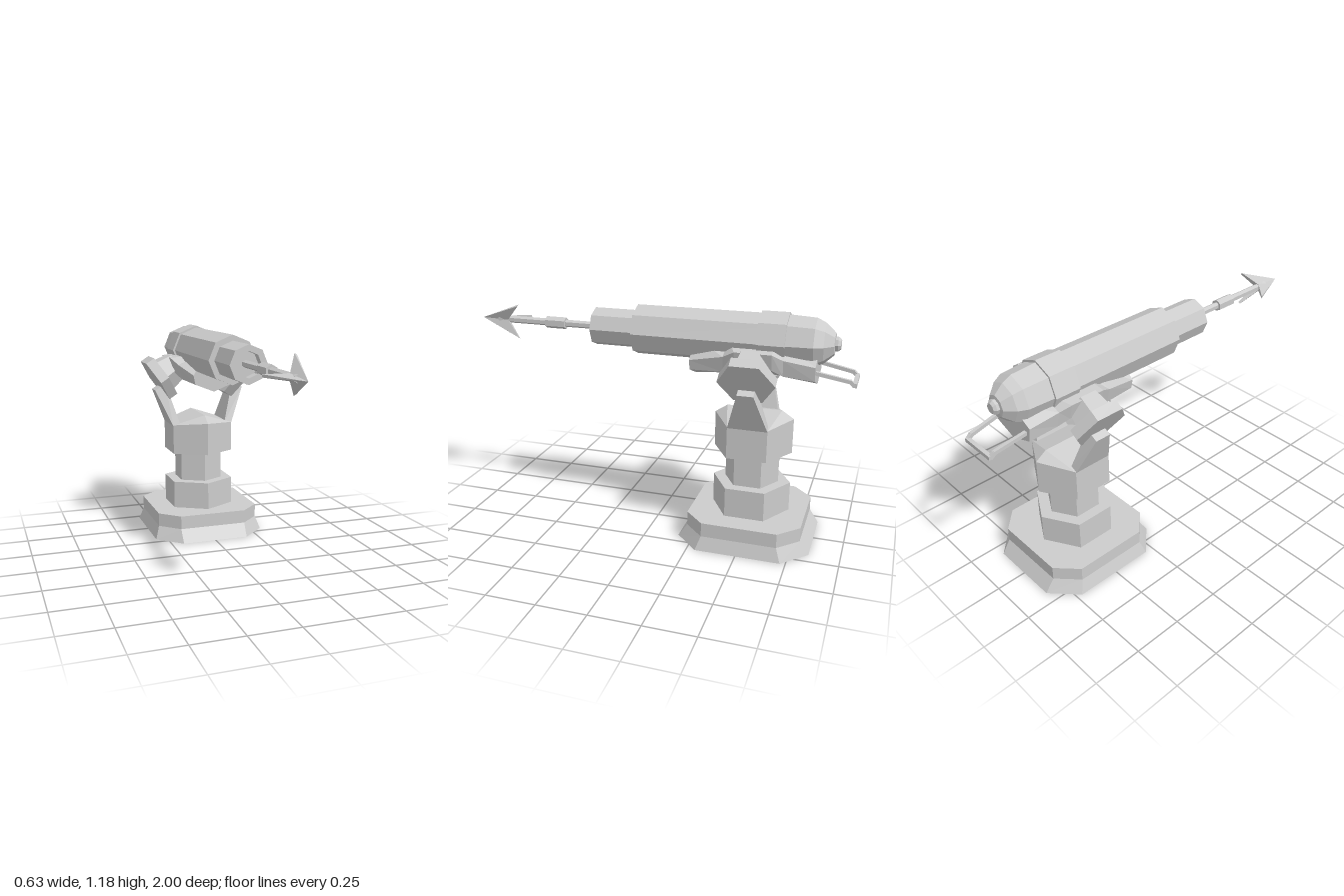
import * as THREE from 'three';
import { ConvexGeometry } from 'three/addons/geometries/ConvexGeometry.js';

const CZ = -0.508;   // pedestal axis
const AXIS_Y = 1.038; // barrel axis
const material = new THREE.MeshStandardMaterial({ color: 0xcccccc, flatShading: true });

function part(name, geometry, parent) {
  const g = geometry.index ? geometry.toNonIndexed() : geometry;
  g.computeVertexNormals();
  const mesh = new THREE.Mesh(g, material);
  mesh.name = name;
  parent.add(mesh);
  return mesh;
}

// Skin between rings of [x, y, z] points (counter-clockwise seen from the end), with caps
function loft(rings) {
  const pos = [];
  const tri = (...pts) => {
    const [a, b, c] = pts.map((p) => new THREE.Vector3(...p));
    if (b.clone().sub(a).cross(c.clone().sub(a)).length() > 1e-8) pts.forEach((p) => pos.push(...p));
  };
  const n = rings[0].length;
  for (let i = 0; i < rings.length - 1; i++) {
    for (let j = 0; j < n; j++) {
      const k = (j + 1) % n;
      tri(rings[i][j], rings[i][k], rings[i + 1][k]);
      tri(rings[i][j], rings[i + 1][k], rings[i + 1][j]);
    }
  }
  const first = rings[0], last = rings[rings.length - 1];
  for (let j = 1; j < n - 1; j++) {
    tri(first[0], first[j + 1], first[j]);
    tri(last[0], last[j], last[j + 1]);
  }
  const g = new THREE.BufferGeometry();
  g.setAttribute('position', new THREE.Float32BufferAttribute(pos, 3));
  return g;
}

// Faceted solid turned around the z axis; profile is [radius, z] from back to front
function turned(profile, sides) {
  const pts = profile.map(([r, z]) => new THREE.Vector2(r, z));
  return new THREE.LatheGeometry(pts, sides).rotateX(Math.PI / 2);
}

// Square bar between two points
function bar(name, a, b, w, parent) {
  const p = new THREE.Vector3(...a), q = new THREE.Vector3(...b);
  const mesh = part(name, new THREE.BoxGeometry(w, w, p.distanceTo(q) + w * 0.5), parent);
  mesh.position.copy(p).lerp(q, 0.5);
  mesh.lookAt(q);
}

const chamfered = (y, hx, hz, fx, fz) => [
  [hx, y, fz], [hx, y, -fz], [fx, y, -hz], [-fx, y, -hz],
  [-hx, y, -fz], [-hx, y, fz], [-fx, y, hz], [fx, y, hz],
];

function buildPedestal() {
  const g = new THREE.Group();
  g.name = 'pedestal';
  g.position.z = CZ;
  part('foot', loft([
    chamfered(0, 0.313, 0.337, 0.185, 0.215),
    chamfered(0.07, 0.29, 0.29, 0.187, 0.19),
    chamfered(0.143, 0.29, 0.29, 0.187, 0.19),
  ]), g);
  for (const [name, r, y0, y1] of [['lowerColumn', 0.2, 0.143, 0.295], ['neck', 0.138, 0.295, 0.46]]) {
    part(name, new THREE.CylinderGeometry(r, r, y1 - y0, 6), g).position.y = (y0 + y1) / 2;
  }
  // Hexagonal head closing in a ridge
  const hex = [[0.173, 0.1], [0.173, -0.1], [0, -0.2], [-0.173, -0.1], [-0.173, 0.1], [0, 0.2]];
  part('columnHead', loft([
    hex.map(([x, z]) => [x, 0.46, z]),
    hex.map(([x, z]) => [x, x ? 0.625 : 0.64, z]),
    hex.map(([, z]) => [0, 0.68, Math.sign(z) * 0.14]),
  ]), g);
  return g;
}

// One side of the fork; the other is the same turned half a circle
function buildFork(name, turn) {
  const g = new THREE.Group();
  g.name = name;
  g.position.z = CZ;
  g.rotation.y = turn;
  const section = (xo, yo, xi, yi, h) => [[xo, yo, h], [xo, yo, -h], [xi, yi, -h], [xi, yi, h]];
  part('forkArm', loft([
    section(0.173, 0.62, 0.13, 0.62, 0.1),
    section(0.26, 0.82, 0.2, 0.855, 0.04),
  ]), g);
  const pivot = new THREE.Group();
  pivot.name = 'pivot';
  pivot.position.set(0.2275, 0.888, 0);
  pivot.rotation.z = 1.0;
  g.add(pivot);
  part('pivotPlate', new THREE.CylinderGeometry(0.14, 0.14, 0.054, 6), pivot);
  part('pivotStub', new THREE.CylinderGeometry(0.085, 0.105, 0.1, 6), pivot).position.y = 0.07;
  return g;
}

// V-shaped tray under the barrel: [z, keel y, edge x, edge y, rim x, rim y]
function buildCradle(parent) {
  const stations = [
    [-0.81, 0.835, 0.125, 0.88, 0.135, 0.95],
    [-0.66, 0.86, 0.135, 0.895, 0.15, 0.975],
    [-0.61, 0.86, 0.16, 0.925, 0.18, 1.005],
    [-0.43, 0.86, 0.16, 0.925, 0.18, 1.005],
    [-0.37, 0.85, 0.13, 0.89, 0.15, 0.97],
    [-0.195, 0.838, 0.105, 0.88, 0.115, 0.93],
  ];
  part('cradle', loft(stations.map(([z, yb, xo, yo, xt, yt]) => [
    [0, yb, z], [xo, yo, z], [xt, yt, z], [0, 1.02, z], [-xt, yt, z], [-xo, yo, z],
  ])), parent);
}

function buildHarpoon() {
  const g = new THREE.Group();
  g.name = 'harpoon';
  part('shaft', turned([[0, 0.28], [0.019, 0.28], [0.019, 0.9], [0, 0.9]], 6), g);
  part('shaftSleeve', turned([[0.019, 0.51], [0.031, 0.51], [0.031, 0.62], [0.019, 0.62]], 6), g);
  // Three swept-back barbs meeting at the point
  for (let i = 0; i < 3; i++) {
    const pts = [[0, 0, 1], [0.102, 0.007, 0.76], [0.102, -0.007, 0.76],
      [0, 0.018, 0.85], [0, -0.018, 0.85], [0.02, 0.014, 0.84], [0.02, -0.014, 0.84]];
    const barb = new ConvexGeometry(pts.map((p) => new THREE.Vector3(...p)));
    part('barb', barb, g).rotation.z = Math.PI + (i * Math.PI * 2) / 3;
  }
  return g;
}

export function createModel() {
  const model = new THREE.Group();
  model.name = 'harpoonCannon';
  model.add(buildPedestal(), buildFork('leftFork', 0), buildFork('rightFork', Math.PI));
  buildCradle(model);

  const gun = new THREE.Group();
  gun.name = 'gun';
  gun.position.y = AXIS_Y;
  model.add(gun);
  // Barrel with rounded breech, stepped muzzle and bore
  part('barrel', turned([
    [0, -0.885], [0.055, -0.88], [0.098, -0.835], [0.12, -0.79], [0.127, -0.66], [0.127, 0.108],
    [0.097, 0.108], [0.097, 0.338], [0.065, 0.338], [0.065, 0.29], [0, 0.29],
  ], 8), gun);
  part('collar', turned([[0.12, -0.66], [0.138, -0.66], [0.138, -0.525], [0.12, -0.525]], 8), gun);
  part('breechCap', turned([[0, -0.908], [0.025, -0.908], [0.036, -0.895], [0.036, -0.87]], 8), gun);
  gun.add(buildHarpoon());

  // Rear handle frame
  const handle = new THREE.Group();
  handle.name = 'handle';
  model.add(handle);
  for (const s of [-1, 1]) {
    bar('handleSide', [s * 0.105, 0.925, -0.76], [s * 0.09, 0.885, -0.97], 0.018, handle);
    bar('handleBend', [s * 0.09, 0.885, -0.97], [s * 0.088, 0.868, -0.988], 0.018, handle);
  }
  bar('handleGrip', [-0.088, 0.868, -0.99], [0.088, 0.868, -0.99], 0.02, handle);
  return model;
}
